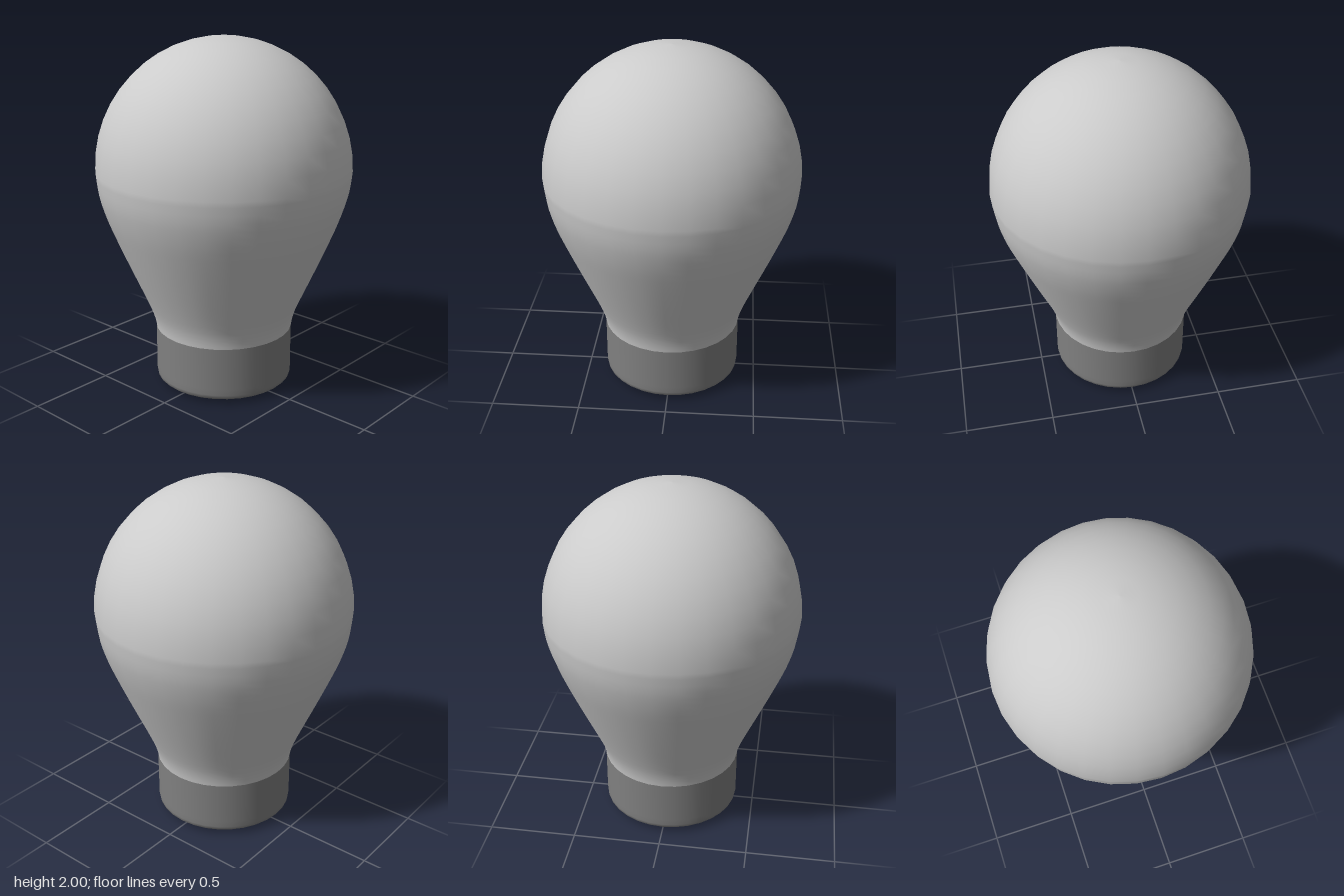
import * as THREE from 'three';

const SIDES = 32;

// Smooth solid of revolution around y, profile listed from bottom to top
function turned(name, points, color) {
  const geometry = new THREE.LatheGeometry(points, SIDES);
  const material = new THREE.MeshStandardMaterial({ color, side: THREE.DoubleSide });
  const mesh = new THREE.Mesh(geometry, material);
  mesh.name = name;
  return mesh;
}

export function createModel() {
  const group = new THREE.Group();
  group.name = 'lightBulb';
  const v = (x, y) => new THREE.Vector2(x, y);

  // Glass: flared neck running into a round dome
  const neck = new THREE.SplineCurve([
    v(0.395, 0.335), v(0.405, 0.39), v(0.436, 0.48), v(0.535, 0.705),
    v(0.61, 0.88), v(0.665, 1.02), v(0.702, 1.15), v(0.717, 1.27),
  ]).getPoints(21);
  const dome = [];
  for (let i = 1; i <= 12; i++) {
    const a = (i / 12) * Math.PI / 2;
    dome.push(v(i === 12 ? 0 : 0.717 * Math.cos(a), 1.27 + 0.73 * Math.sin(a)));
  }
  group.add(turned('glassBulb', [...neck, ...dome], 0xcccccc));

  // Base: short cap with a rounded lower rim and slightly domed underside
  group.add(turned('baseCap', [
    v(0, 0), v(0.2, 0.004), v(0.3, 0.01), v(0.35, 0.017), v(0.38, 0.026),
    v(0.392, 0.037), v(0.395, 0.055), v(0.395, 0.09), v(0.395, 0.335),
  ], 0x808080));

  return group;
}
